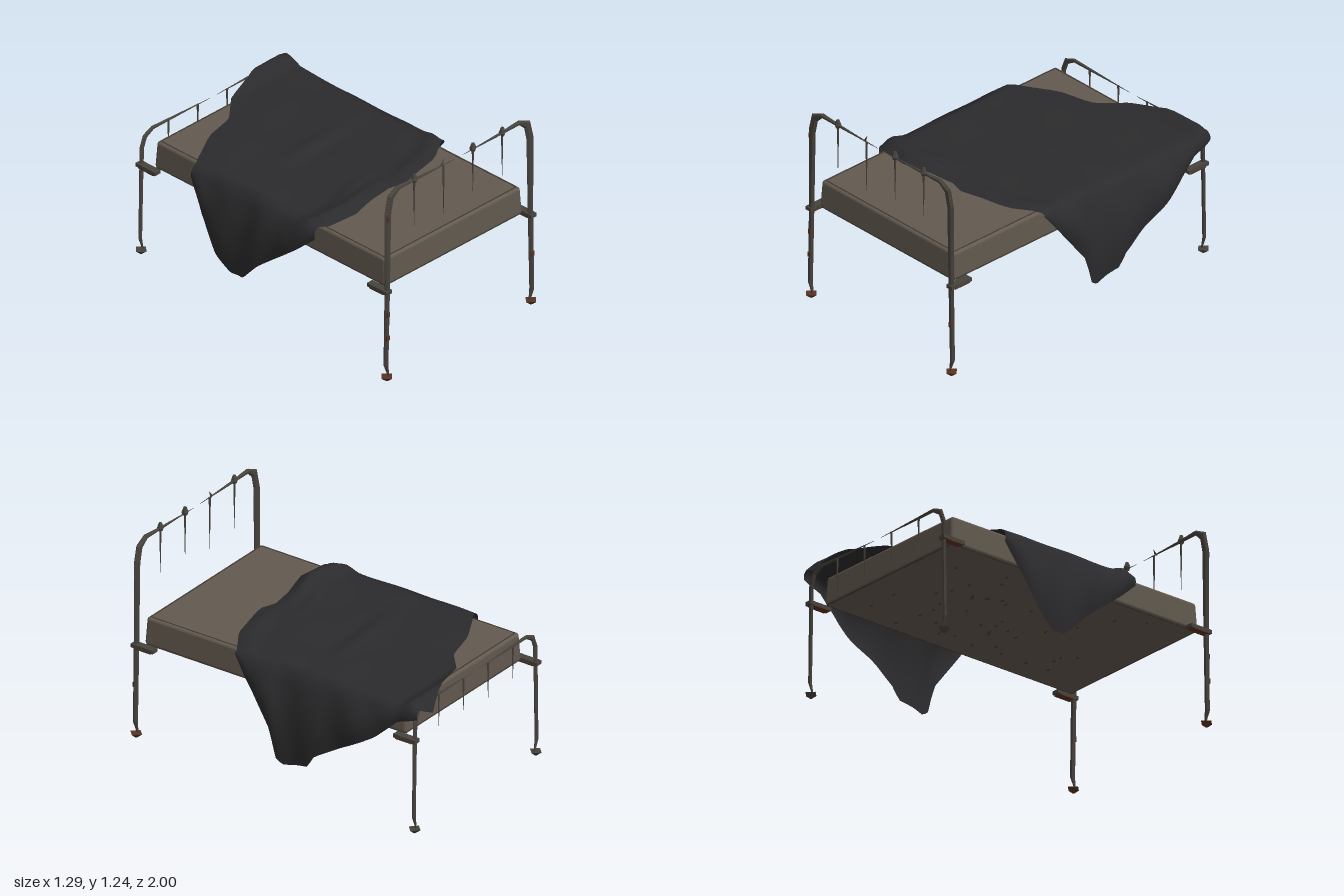
import * as THREE from 'three';
import { RoundedBoxGeometry } from 'three/addons/geometries/RoundedBoxGeometry.js';

const mats = {
  mattress: new THREE.MeshStandardMaterial({ name: 'mattressCloth', color: 0x62594f }),
  piping: new THREE.MeshStandardMaterial({ name: 'darkPiping', color: 0x3f3931 }),
  blanket: new THREE.MeshStandardMaterial({ name: 'blanketCloth', color: 0x2b2b2d, side: THREE.DoubleSide }),
  metal: new THREE.MeshStandardMaterial({ name: 'oldMetal', color: 0x46423c, flatShading: true }),
  rust: new THREE.MeshStandardMaterial({ name: 'rust', color: 0x5a3222, flatShading: true }),
};

function add(parent, name, geometry, material, x = 0, y = 0, z = 0) {
  const mesh = new THREE.Mesh(geometry, material);
  mesh.name = name;
  mesh.position.set(x, y, z);
  parent.add(mesh);
  return mesh;
}

// Piecewise linear lookup; keys run in ascending order
function sample(table, k) {
  if (k <= table[0][0]) return table[0][1];
  for (let i = 1; i < table.length; i++) {
    const [k0, v0] = table[i - 1], [k1, v1] = table[i];
    if (k <= k1) return v0 + (v1 - v0) * (k - k0) / (k1 - k0);
  }
  return table[table.length - 1][1];
}

// Grid surface from rows of [x, y, z]
function gridGeometry(rows, flip = false) {
  const n = rows[0].length, index = [];
  for (let i = 0; i < rows.length - 1; i++) {
    for (let j = 0; j < n - 1; j++) {
      const a = i * n + j, b = a + 1, c = a + n, d = c + 1;
      if (flip) index.push(a, c, b, b, c, d);
      else index.push(a, b, c, b, d, c);
    }
  }
  const g = new THREE.BufferGeometry();
  g.setAttribute('position', new THREE.Float32BufferAttribute(rows.flat(2), 3));
  g.setIndex(index);
  g.computeVertexNormals();
  return g;
}

// Bent bar in the xy plane; each point is [x, y, half width], side mirrors it
function barGeometry(points, depth, side) {
  const sides = 6;
  const rows = points.map(([x, y, w], i) => {
    const p = points[Math.max(i - 1, 0)], q = points[Math.min(i + 1, points.length - 1)];
    const len = Math.hypot(q[0] - p[0], q[1] - p[1]);
    const nx = (q[1] - p[1]) / len, ny = -(q[0] - p[0]) / len;
    const d = Math.min(depth, w);
    return Array.from({ length: sides + 1 }, (_, j) => {
      const a = j / sides * Math.PI * 2;
      return [side * (x + nx * w * Math.cos(a)), y + ny * w * Math.cos(a), d * Math.sin(a)];
    });
  });
  return gridGeometry(rows, side > 0);
}

function bedEnd(name, points, z, depth, barY, lengths, footMaterial) {
  const end = new THREE.Group();
  end.name = name;
  end.position.z = z;
  for (const s of [-1, 1]) {
    add(end, 'postAndRail', barGeometry(points, depth, s), mats.metal);
    add(end, 'foot', new THREE.CylinderGeometry(0.04, 0.006, 0.028, 4), footMaterial, s * 0.565, 0.014, 0);
    // Mattress bracket pointing inwards along z
    const inward = -Math.sign(z);
    add(end, 'bracket', new THREE.BoxGeometry(0.045, 0.022, 0.15), mats.metal, s * 0.567, 0.577, inward * 0.055);
    add(end, 'bracketRust', new THREE.BoxGeometry(0.046, 0.006, 0.11), mats.rust, s * 0.567, 0.564, inward * 0.06);
  }
  // Broken hanging spindles
  [-0.35, -0.12, 0.11, 0.34].forEach((x, i) => {
    add(end, 'spindle', new THREE.CylinderGeometry(0.007, 0.001, lengths[i], 5), mats.metal, x, barY - lengths[i] / 2, 0);
  });
  return end;
}

function blanketGeometry() {
  const headZ = [[-0.57, 0.42], [-0.52, 0.47], [-0.33, 0.49], [-0.15, 0.44], [0, 0.42], [0.1, 0.45], [0.4, 0.38], [0.57, 0.27]];
  const footZ = [[-0.57, -0.52], [-0.3, -0.67], [-0.1, -0.72], [0.05, -0.85], [0.25, -0.91], [0.48, -1], [0.57, -0.97]];
  const hems = {
    '-1': [[-0.55, 0.72], [-0.42, 0.5], [-0.3, 0.3], [-0.2, 0.22], [-0.1, 0.23], [0.02, 0.36], [0.3, 0.58], [0.46, 0.72]],
    '1': [[-0.97, 0.72], [-0.85, 0.68], [-0.7, 0.54], [-0.3, 0.3], [-0.25, 0.22], [-0.08, 0.18], [-0.03, 0.22], [0, 0.37], [0.27, 0.74]],
  };
  const overRail = [[-1, 0.72], [-0.97, 0.785], [-0.93, 0.82], [-0.84, 0.77], [-0.7, 0.765]];
  const bump = (t) => Math.exp(-t * t);
  const height = (x, z) => {
    let y = sample(overRail, z) + 0.004 * Math.sin(9 * x + 5 * z) * Math.sin(11 * z - 4 * x);
    // Bunched folds along the head edge
    const d = sample(headZ, x) - z;
    y += (0.03 + 0.02 * Math.sin(8 * x + 4.3)) * bump((d - 0.07) / 0.05) * (x < 0.25 ? 1 : 0.4);
    y += 0.018 * bump((d - 0.18 - 0.1 * x) / 0.03) * bump((x + 0.25) / 0.25);
    // Crease in the middle
    y -= 0.012 * bump((z + 0.11 + 0.06 * x) / 0.05) * bump(x / 0.25);
    y += 0.012 * bump((z + 0.2 + 0.06 * x) / 0.05) * bump((x - 0.05) / 0.25);
    return y;
  };
  const rows = [], steps = 48, top = 24, drape = 7, edge = 0.565;
  for (let i = 0; i <= steps; i++) {
    const v = i / steps, row = [];
    const hang = (s, t) => {
      const z0 = sample(headZ, s * edge), z = z0 + (sample(footZ, s * edge) - z0) * v;
      const y0 = height(s * edge, z) - 0.008, drop = Math.max(0.02, y0 - sample(hems[s], z));
      const out = Math.min(1, drop / 0.25) * (0.06 * Math.sin(t * 2.3) + 0.008 * Math.sin(z * 22 + t * 2));
      return [s * (edge + 0.012 * Math.min(1, t * 4) + out), y0 - drop * t, z];
    };
    for (let j = drape; j > 0; j--) row.push(hang(-1, j / drape));
    for (let j = 0; j <= top; j++) {
      const x = -edge + 2 * edge * j / top;
      const z0 = sample(headZ, x), z = z0 + (sample(footZ, x) - z0) * v;
      row.push([x, height(x, z) - (j % top ? 0 : 0.008), z]);
    }
    for (let j = 1; j <= drape; j++) row.push(hang(1, j / drape));
    rows.push(row);
  }
  return gridGeometry(rows);
}

export function createModel() {
  const bed = new THREE.Group();
  bed.name = 'bed';

  // Mattress, slightly narrower at the top
  const body = new RoundedBoxGeometry(1.08, 0.17, 1.785, 3, 0.018);
  const pos = body.attributes.position;
  for (let i = 0; i < pos.count; i++) {
    if (pos.getY(i) > 0) {
      pos.setX(i, pos.getX(i) * 0.99);
      pos.setZ(i, pos.getZ(i) * 0.99);
    }
  }
  add(bed, 'mattress', body, mats.mattress, 0, 0.665, 0.03);

  // Piping round the top and bottom edges
  for (const [y, w, l] of [[0.748, 0.515, 0.865], [0.583, 0.53, 0.883]]) {
    for (const s of [-1, 1]) {
      add(bed, 'pipingSide', new THREE.BoxGeometry(0.007, 0.007, 2 * l), mats.piping, s * w, y, 0.03);
      add(bed, 'pipingEnd', new THREE.BoxGeometry(2 * w, 0.007, 0.007), mats.piping, 0, y, 0.03 + s * l);
    }
  }

  // Small tears under the mattress
  let seed = 7;
  const rand = () => (seed = (seed * 16807) % 2147483647) / 2147483647;
  for (let i = 0; i < 45; i++) {
    add(bed, 'tear', new THREE.BoxGeometry(0.03, 0.006, 0.006), mats.piping, (rand() - 0.5) * 0.9, 0.577, (rand() - 0.5) * 1.5);
  }

  add(bed, 'blanket', blanketGeometry(), mats.blanket);

  // Tall head end
  const headPoints = [[0.55, 0.02, 0.004], [0.572, 0.1, 0.014], [0.562, 0.58, 0.018], [0.557, 1.08, 0.027],
    [0.535, 1.175, 0.027], [0.475, 1.213, 0.014], [0.35, 1.207, 0.009], [0.03, 1.2, 0.001]];
  const head = bedEnd('headEnd', headPoints, 0.96, 0.014, 1.2, [0.29, 0.32, 0.27, 0.27], mats.rust);
  for (const x of [-0.35, 0.11, 0.34]) {
    add(head, 'knobBase', new THREE.CylinderGeometry(0.021, 0.014, 0.016, 6), mats.metal, x, 1.201, 0);
    add(head, 'knobTip', new THREE.CylinderGeometry(0.009, 0.021, 0.032, 6), mats.metal, x, 1.225, 0);
  }
  const sliver = add(head, 'brokenKnob', new THREE.ConeGeometry(0.01, 0.05, 3), mats.metal, -0.125, 1.222, 0);
  sliver.rotation.z = -0.5;
  // Rust patches on the posts
  for (const [x, y] of [[-0.562, 1.05], [-0.566, 0.43], [-0.568, 0.28], [0.566, 0.33]]) {
    add(head, 'rustPatch', new THREE.BoxGeometry(0.022, 0.03, 0.008), mats.rust, x, y, 0.011);
  }

  // Low foot end
  const footPoints = [[0.55, 0.02, 0.004], [0.572, 0.1, 0.012], [0.565, 0.45, 0.014], [0.56, 0.68, 0.018],
    [0.535, 0.745, 0.018], [0.475, 0.775, 0.012], [0.35, 0.773, 0.008], [0.03, 0.768, 0.001]];
  const foot = bedEnd('footEnd', footPoints, -0.94, 0.01, 0.77, [0.2, 0.22, 0.2, 0.2], mats.metal);

  bed.add(head, foot);
  return bed;
}
